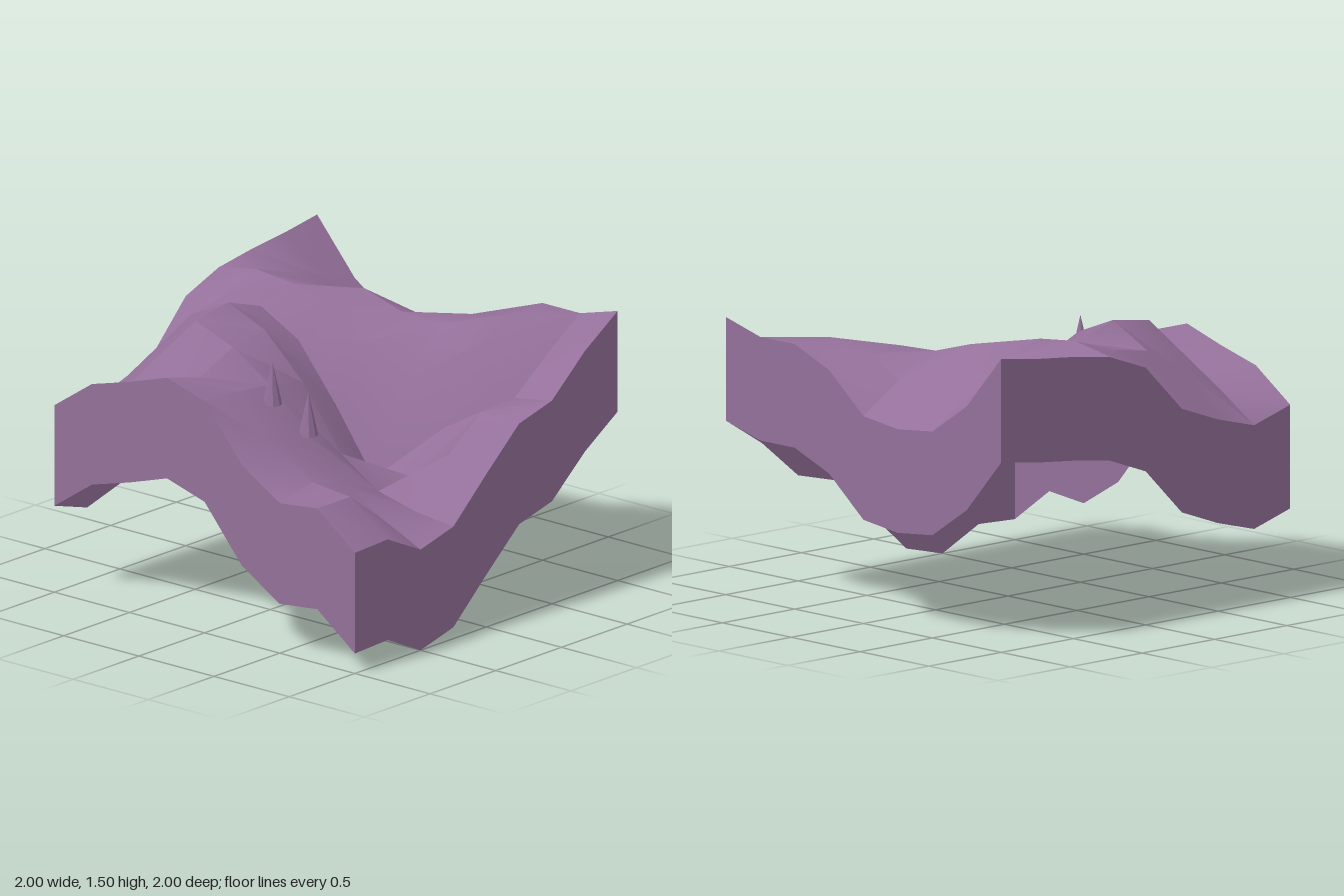
import * as THREE from 'three';
import { toCreasedNormals } from 'three/addons/utils/BufferGeometryUtils.js';

// Ground heights on a 9 x 9 grid: rows run from back to front, columns from x = -1 to 1
const HEIGHTS = [
  [1.505, 1.225, 1.06, 1.035, 1.065, 1.265, 1.36, 1.36, 1.425],
  [1.47, 1.29, 1.22, 1.22, 1.22, 1.31, 1.36, 1.207, 1.275],
  [1.445, 1.38, 1.36, 1.4, 1.33, 1.32, 1.263, 1.035, 1.075],
  [1.41, 1.455, 1.43, 1.36, 1.24, 1.08, 0.885, 1.025, 1.015],
  [1.32, 1.375, 1.375, 1.25, 0.96, 0.63, 0.69, 0.86, 0.81],
  [1.075, 1.335, 1.455, 1.36, 1.14, 0.82, 0.675, 0.62, 0.595],
  [0.985, 1.2, 1.42, 1.335, 1.19, 0.98, 0.77, 0.64, 0.535],
  [0.92, 1.07, 1.12, 1.235, 1.215, 0.985, 0.845, 0.82, 0.65],
  [0.99, 1.155, 1.22, 1.295, 1.225, 0.94, 0.795, 0.82, 0.64],
];
const N = 8;
const STEP = 2 / N;
const SKIRT_DEPTH = 0.53;
const CREASE = 0.5;

const gridPoint = (col, row) =>
  new THREE.Vector3(-1 + col * STEP, HEIGHTS[row][col], -1 + row * STEP);

// Surface of the ground
function groundGeometry() {
  const geo = new THREE.PlaneGeometry(2, 2, N, N).rotateX(-Math.PI / 2);
  const pos = geo.attributes.position;
  for (let i = 0; i < pos.count; i++) {
    pos.setY(i, HEIGHTS[Math.floor(i / (N + 1))][i % (N + 1)]);
  }
  return toCreasedNormals(geo, CREASE);
}

// Vertical wall hanging below a row of edge points
function skirtGeometry(points) {
  const positions = [];
  const index = [];
  points.forEach((p, i) => {
    positions.push(p.x, p.y, p.z, p.x, p.y - SKIRT_DEPTH, p.z);
    if (i < points.length - 1) {
      const a = i * 2;
      index.push(a, a + 1, a + 2, a + 1, a + 3, a + 2);
    }
  });
  const geo = new THREE.BufferGeometry();
  geo.setAttribute('position', new THREE.Float32BufferAttribute(positions, 3));
  geo.setIndex(index);
  geo.computeVertexNormals();
  return geo;
}

export function createModel() {
  const model = new THREE.Group();
  model.name = 'terrainTile';

  const mauve = new THREE.MeshStandardMaterial({ color: 0x94709a, side: THREE.DoubleSide });
  mauve.name = 'mauve';

  const add = (name, geometry) => {
    const mesh = new THREE.Mesh(geometry, mauve);
    mesh.name = name;
    model.add(mesh);
    return mesh;
  };

  add('ground', groundGeometry());

  // Edge walls, each listed left to right as seen from outside
  const edges = {
    frontSkirt: (i) => gridPoint(i, N),
    leftSkirt: (i) => gridPoint(N, N - i),
    backSkirt: (i) => gridPoint(N - i, 0),
    rightSkirt: (i) => gridPoint(0, i),
  };
  for (const [name, pointAt] of Object.entries(edges)) {
    const points = Array.from({ length: N + 1 }, (_, i) => pointAt(i));
    add(name, skirtGeometry(points));
  }

  // Two pointed spikes standing on the hillside
  const spikes = [
    [0.083, 1.125, 0.58],
    [0.25, 0.978, 0.497],
  ];
  const spikeHeight = 0.225;
  for (const [x, y, z] of spikes) {
    const cone = new THREE.ConeGeometry(0.05, spikeHeight, 8);
    add('spike', toCreasedNormals(cone, CREASE)).position.set(x, y + spikeHeight / 2, z);
  }

  return model;
}
